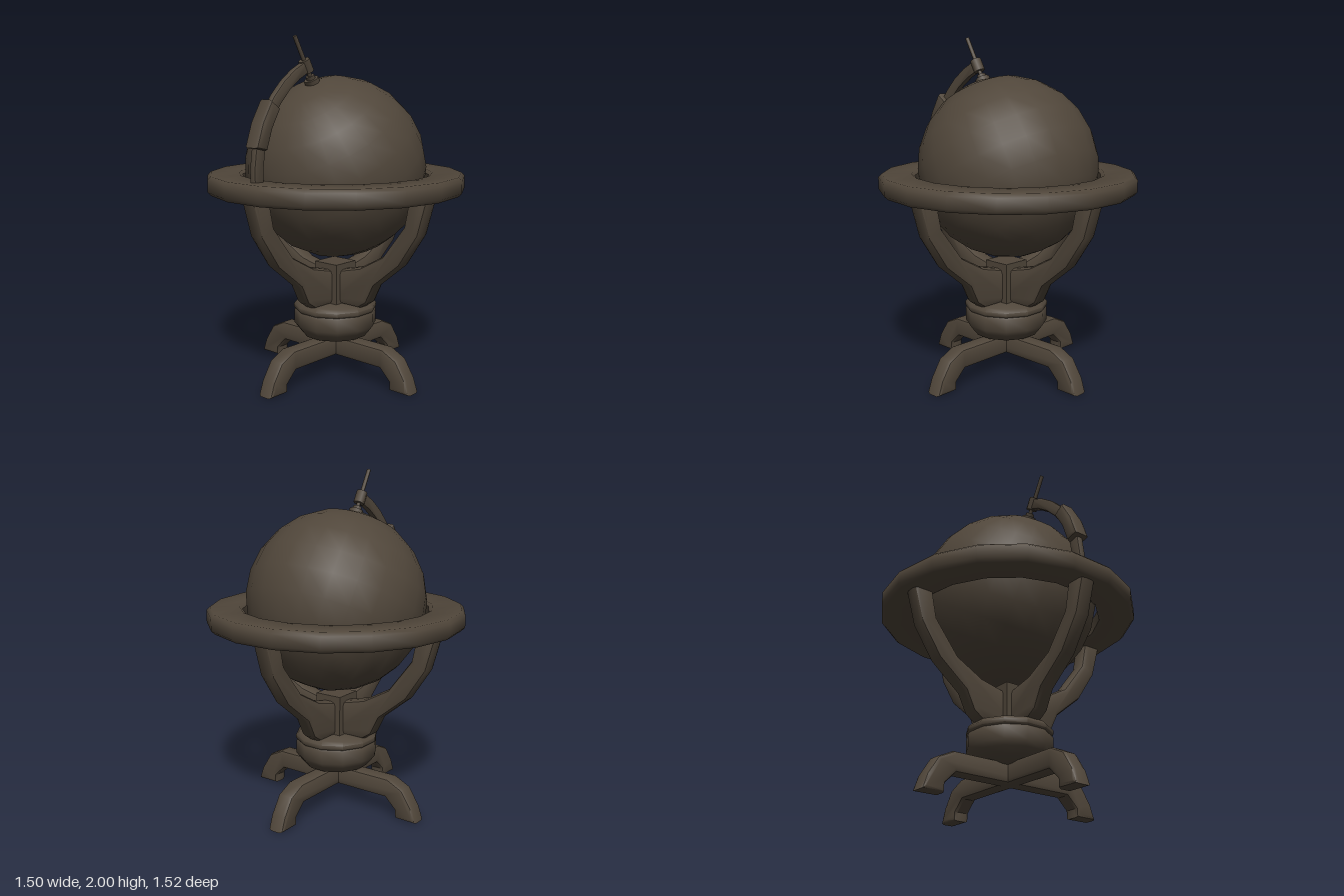
import * as THREE from 'three';
import { toCreasedNormals } from 'three/addons/utils/BufferGeometryUtils.js';

export function createModel() {
  const model = new THREE.Group();
  const bronze = new THREE.MeshStandardMaterial({ color: 0x50463a });
  bronze.name = 'dark bronze';

  function add(parent, name, geometry) {
    const mesh = new THREE.Mesh(geometry, bronze);
    mesh.name = name;
    parent.add(mesh);
    return mesh;
  }

  // Side outline with rounded edges, centred on z = 0
  function slab(points, width, bevel) {
    const shape = new THREE.Shape(points.map(([x, y]) => new THREE.Vector2(x, y)));
    const geometry = new THREE.ExtrudeGeometry(shape, {
      depth: width - 2 * bevel, bevelThickness: bevel, bevelSize: bevel,
      bevelOffset: -bevel, bevelSegments: 2,
    });
    geometry.translate(0, 0, bevel - width / 2);
    return toCreasedNormals(geometry, 0.75);
  }

  // Turned profile, listed from the bottom outwards and up
  function turned(points, sides, start = 0) {
    const profile = points.map(([r, y]) => new THREE.Vector2(r, y));
    return toCreasedNormals(new THREE.LatheGeometry(profile, sides, start), 0.85);
  }

  // Outline of a curved strip between two radii
  function arcOutline(inner, outer, from, to, steps) {
    const points = [];
    for (const [r, a, b] of [[outer, from, to], [inner, to, from]]) {
      for (let i = 0; i <= steps; i++) {
        const t = THREE.MathUtils.degToRad(a + (b - a) * i / steps);
        points.push([r * Math.cos(t), r * Math.sin(t)]);
      }
    }
    return points;
  }

  // Globe and horizon ring
  const globe = add(model, 'globe', new THREE.SphereGeometry(0.533, 24, 12));
  globe.position.y = 1.25;
  globe.rotation.z = Math.PI / 6;
  add(model, 'horizonRing', turned([
    [0.55, 1.125], [0.57, 1.11], [0.74, 1.11], [0.76, 1.13], [0.76, 1.2],
    [0.74, 1.22], [0.57, 1.22], [0.55, 1.205], [0.55, 1.125],
  ], 18));

  // Stand
  const stand = new THREE.Group();
  stand.name = 'stand';
  stand.position.set(-0.011, 0, 0.006);
  model.add(stand);

  const armOutline = [
    [0, 0.44], [0.22, 0.44], [0.28, 0.48], [0.335, 0.59], [0.515, 0.735], [0.64, 0.92], [0.7, 1.13],
    [0.575, 1.13], [0.54, 0.965], [0.392, 0.775], [0.228, 0.685], [0.085, 0.65], [0, 0.645],
  ];
  for (let i = 0; i < 4; i++) {
    add(stand, 'supportArm', slab(armOutline, 0.105, 0.03)).rotation.y = i * Math.PI / 2;
  }
  const block = add(stand, 'centreBlock', new THREE.BoxGeometry(0.172, 0.255, 0.172));
  block.position.y = 0.557;

  add(stand, 'pedestal', turned([
    [0, 0.212], [0.11, 0.218], [0.195, 0.243], [0.225, 0.28], [0.247, 0.31], [0.247, 0.385],
    [0.24, 0.395], [0.249, 0.405], [0.249, 0.425], [0.23, 0.445], [0, 0.445],
  ], 12, Math.PI / 12));

  // Two crossed arched feet
  const halfFoot = [
    [0.454, 0], [0.594, 0], [0.565, 0.085], [0.5, 0.185], [0.4, 0.232],
  ];
  const footOutline = [
    [0.385, 0.115], [0.452, 0.05], ...halfFoot,
    ...halfFoot.map(([x, y]) => [-x, y]).reverse(), [-0.452, 0.05], [-0.385, 0.115],
  ];
  for (let i = 0; i < 2; i++) {
    add(stand, 'crossedFeet', slab(footOutline, 0.104, 0.022)).rotation.y = i * Math.PI / 2;
  }

  // Meridian arm with its sleeve
  const meridian = new THREE.Group();
  meridian.name = 'meridian';
  meridian.position.set(0, 1.25, 0.005);
  model.add(meridian);
  add(meridian, 'meridianArc', slab(arcOutline(0.602, 0.668, 113, 186, 8), 0.042, 0.008));
  add(meridian, 'sleeve', slab(arcOutline(0.61, 0.693, 144, 167, 2), 0.105, 0.022));

  // Tilted axis pin with collar and washers
  const axis = new THREE.Group();
  axis.name = 'axis';
  axis.position.set(-0.197, 1.735, 0.005);
  axis.rotation.z = Math.atan2(0.143, 0.26);
  model.add(axis);
  for (const [name, radius, height, y] of [
    ['pin', 0.012, 0.297, 0.148], ['collar', 0.033, 0.075, 0.113],
    ['washer', 0.043, 0.026, 0.018], ['smallWasher', 0.026, 0.022, 0.041],
  ]) {
    add(axis, name, new THREE.CylinderGeometry(radius, radius, height, 8)).position.y = y;
  }
  return model;
}
